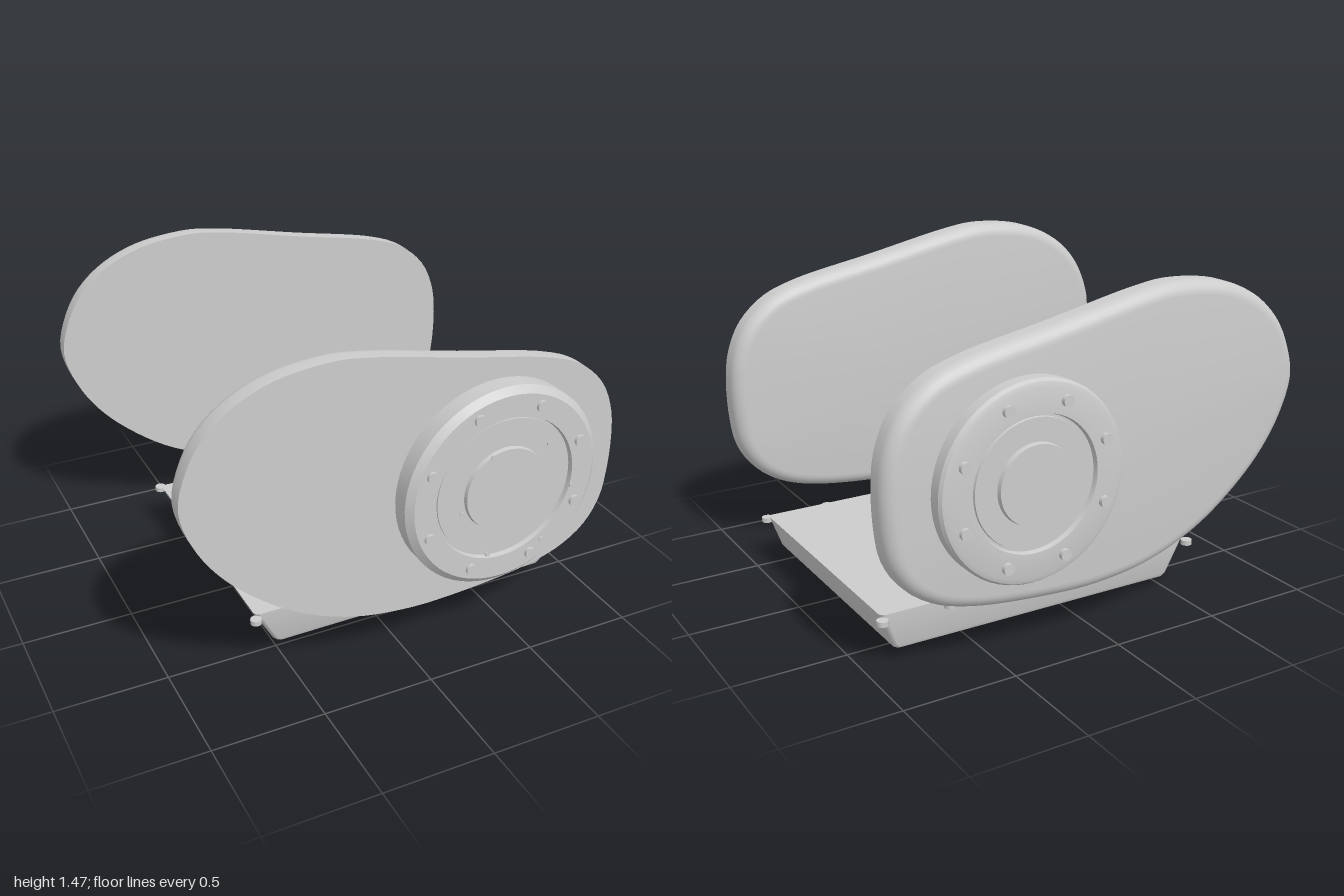
import * as THREE from 'three';
import { toCreasedNormals } from 'three/addons/utils/BufferGeometryUtils.js';

const metal = new THREE.MeshStandardMaterial({ color: 0xcccccc });
metal.name = 'light grey metal';

function add(parent, name, geometry, x = 0, y = 0, z = 0) {
  const mesh = new THREE.Mesh(geometry, metal);
  mesh.name = name;
  mesh.position.set(x, y, z);
  parent.add(mesh);
  return mesh;
}

// Closed solid through equal-length counter-clockwise rings stacked along +z
function loft(rings, crease = 0.6) {
  const pos = [];
  const tri = (...pts) => pts.forEach((p) => pos.push(p.x, p.y, p.z));
  const n = rings[0].length;
  const middle = (ring) => ring.reduce((s, p) => s.add(p), new THREE.Vector3()).divideScalar(n);
  const first = rings[0], last = rings[rings.length - 1];
  const c0 = middle(first), c1 = middle(last);
  for (let j = 0; j < n; j++) {
    const k = (j + 1) % n;
    for (let i = 0; i < rings.length - 1; i++) {
      const a = rings[i], b = rings[i + 1];
      tri(a[j], a[k], b[k]);
      tri(a[j], b[k], b[j]);
    }
    tri(c0, first[k], first[j]);
    tri(c1, last[j], last[k]);
  }
  const g = new THREE.BufferGeometry();
  g.setAttribute('position', new THREE.Float32BufferAttribute(pos, 3));
  return toCreasedNormals(g, crease);
}

// Egg-shaped cover: flat on +z, rounded over on -z
function coverGeometry(zBack, zFront, round) {
  const outline = [
    [-1, 0.98], [-0.95, 0.81], [-0.85, 0.65], [-0.7, 0.5], [-0.5, 0.36], [-0.25, 0.26],
    [0, 0.223], [0.2, 0.223], [0.6, 0.265], [0.78, 0.32], [0.9, 0.405], [0.97, 0.52],
    [0.995, 0.65], [1, 0.85], [0.98, 0.98], [0.92, 1.11], [0.8, 1.22], [0.65, 1.28],
    [0.23, 1.367], [-0.2, 1.455], [-0.35, 1.47], [-0.6, 1.44], [-0.78, 1.36],
    [-0.9, 1.25], [-0.97, 1.12],
  ].map(([x, y]) => new THREE.Vector3(x, y, 0));
  const curve = new THREE.CatmullRomCurve3(outline, true, 'centripetal');
  const count = 120;
  const ring = (inset, z) => Array.from({ length: count }, (_, i) => {
    const p = curve.getPointAt(i / count), t = curve.getTangentAt(i / count);
    return new THREE.Vector3(p.x - t.y * inset, p.y + t.x * inset, z);
  });
  const rings = [];
  for (let i = 0; i <= 6; i++) {
    const a = (i / 6) * Math.PI / 2;
    rings.push(ring(round * (1 - Math.sin(a)), zBack + round * (1 - Math.cos(a))));
  }
  rings.push(ring(0, zFront));
  return loft(rings);
}

// Round plate turned from a radius/height profile, axis along +z
function turned(profile) {
  const g = new THREE.LatheGeometry(profile.map(([r, h]) => new THREE.Vector2(r, h)), 64);
  return toCreasedNormals(g.rotateX(Math.PI / 2), 0.5);
}

// Ring of round heads on the plate axis
function boltCircle(parent, name, count, circle, start, r, depth, z) {
  const g = new THREE.CylinderGeometry(r, r, depth, 16).rotateX(Math.PI / 2);
  for (let i = 0; i < count; i++) {
    const a = start + (i / count) * Math.PI * 2;
    add(parent, name, g, circle * Math.cos(a), circle * Math.sin(a), z);
  }
}

// Tapered oil pan with rounded corners and underside
function panGeometry() {
  const ring = (x0, x1, inset, h, r) => {
    const pts = [];
    const xs = [x0 + inset + r, x1 - inset - r], ys = [-0.54 + inset + r, 0.66 - inset - r];
    [[1, 0], [1, 1], [0, 1], [0, 0]].forEach(([ix, iy], q) => {
      for (let i = 0; i <= 4; i++) {
        const a = (q - 1 + i / 4) * Math.PI / 2;
        const x = xs[ix] + r * Math.cos(a);
        const tilt = h < 0.2 ? 0.007 * (x + 0.5) : 0;
        pts.push(new THREE.Vector3(x, ys[iy] + r * Math.sin(a), h + tilt));
      }
    });
    return pts;
  };
  return loft([
    ring(-0.51, 0.86, 0.02, 0.045, 0.02),
    ring(-0.514, 0.862, 0.006, 0.051, 0.025),
    ring(-0.522, 0.866, 0, 0.066, 0.025),
    ring(-0.61, 0.92, 0, 0.224, 0.025),
  ]).rotateX(-Math.PI / 2);
}

export function createModel() {
  const model = new THREE.Group();
  model.name = 'engineCovers';

  // Front cover with its large bearing plate
  add(model, 'frontCover', coverGeometry(0.655, 0.775, 0.06));
  const front = new THREE.Group();
  front.name = 'frontBearing';
  front.position.set(0.39, 0.778, 0);
  model.add(front);
  add(front, 'frontBearingPlate', turned([
    [0.463, 0.77], [0.463, 0.855], [0.433, 0.882], [0.332, 0.882], [0.328, 0.86],
    [0.318, 0.86], [0.318, 0.868], [0.192, 0.868], [0.188, 0.886], [0, 0.886],
  ]));
  boltCircle(front, 'frontPlateBolt', 8, 0.385, Math.PI / 8, 0.025, 0.03, 0.881);
  boltCircle(front, 'smallStud', 6, 0.265, 0, 0.011, 0.006, 0.976);

  // Rear cover with its smaller bearing plate
  add(model, 'rearCover', coverGeometry(-0.89, -0.775, 0.06));
  const rear = new THREE.Group();
  rear.name = 'rearBearing';
  rear.position.set(0.39, 0.778, 0);
  rear.rotation.y = Math.PI;
  model.add(rear);
  add(rear, 'rearBearingPlate', turned([
    [0.42, 0.88], [0.42, 0.945], [0.41, 0.96], [0.39, 0.967], [0.285, 0.967], [0.28, 0.945],
    [0.27, 0.945], [0.268, 0.955], [0.17, 0.955], [0.166, 0.975], [0, 0.975],
  ]));
  boltCircle(rear, 'rearPlateBolt', 8, 0.345, Math.PI / 8, 0.024, 0.03, 0.972);

  // Oil pan, edge bolts and hexagonal drain plug
  add(model, 'oilPan', panGeometry());
  const panBolt = new THREE.CylinderGeometry(0.025, 0.025, 0.022, 16);
  for (const z of [-0.675, 0.55]) {
    for (let i = 0; i < 6; i++) add(model, 'panBolt', panBolt, -0.61 + i * 0.306, 0.203, z);
  }
  add(model, 'drainPlug', toCreasedNormals(new THREE.CylinderGeometry(0.055, 0.055, 0.055, 6), 0.5),
    0.155, 0.0275, -0.055);

  return model;
}
